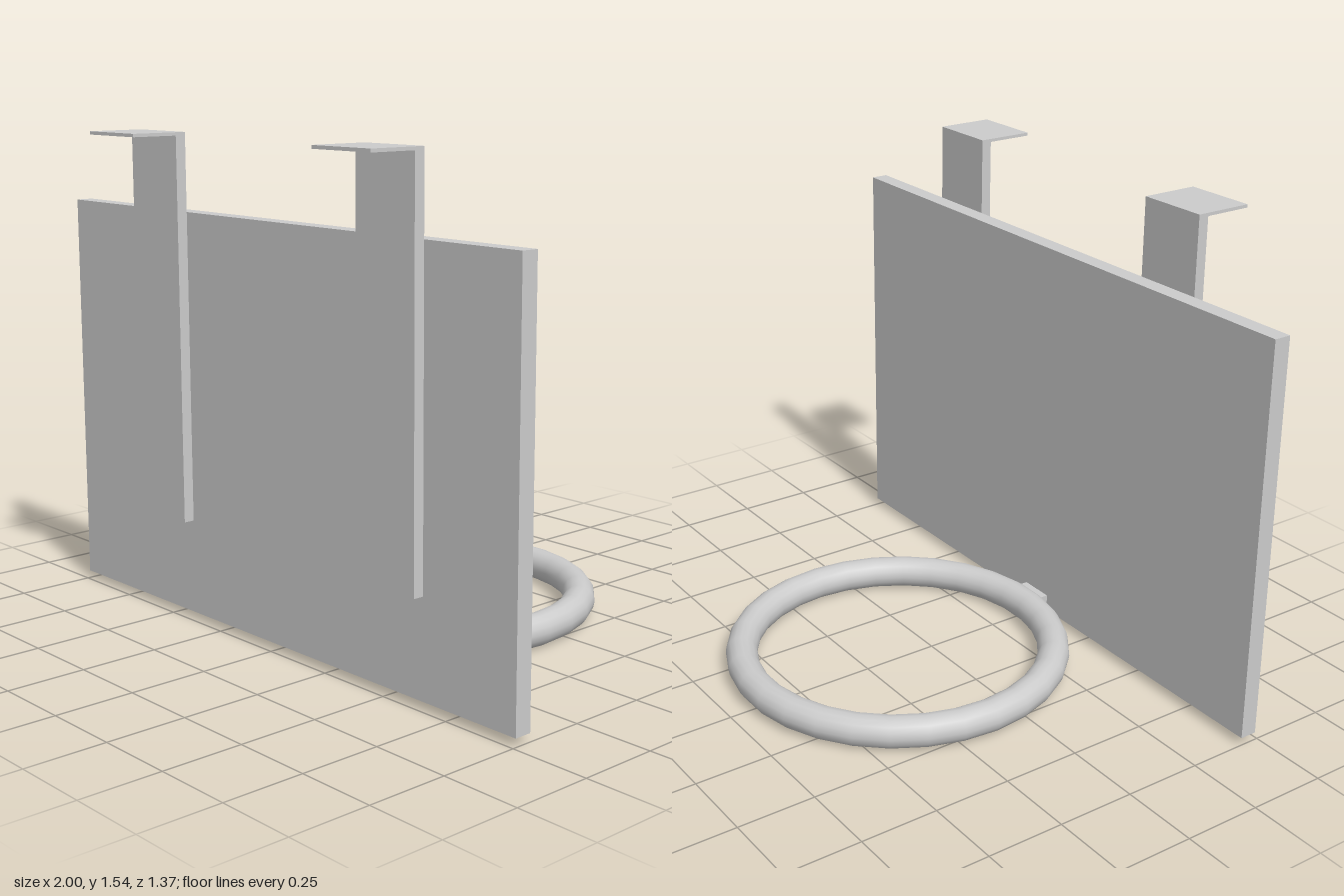
import * as THREE from 'three';

const material = new THREE.MeshStandardMaterial({ color: 0xcccccc });

// Box given by its limits on each axis
function box(name, [x0, x1], [y0, y1], [z0, z1]) {
  const mesh = new THREE.Mesh(new THREE.BoxGeometry(x1 - x0, y1 - y0, z1 - z0), material);
  mesh.position.set((x0 + x1) / 2, (y0 + y1) / 2, (z0 + z1) / 2);
  mesh.name = name;
  return mesh;
}

// Flat strap with a thin hook plate folded forward at its top
function hanger(name, x0, x1) {
  const group = new THREE.Group();
  group.name = name;
  group.add(
    box('strap', [x0, x1], [0.33, 1.527], [0.499, 0.533]),
    box('hookPlate', [x0, x1], [1.527, 1.537], [0.499, 0.685]),
  );
  return group;
}

export function createModel() {
  const model = new THREE.Group();
  model.name = 'hangingBoardWithHoop';

  // Board
  model.add(box('backboard', [-1, 1], [0.025, 1.295], [0.435, 0.49]));

  // Two hangers on the front of the board
  model.add(hanger('rightHanger', -0.61, -0.38), hanger('leftHanger', 0.43, 0.66));

  // Horizontal hoop behind the board
  const hoop = new THREE.Mesh(new THREE.TorusGeometry(0.505, 0.051, 16, 30), material);
  hoop.name = 'hoop';
  hoop.rotation.x = -Math.PI / 2;
  hoop.position.set(0, 0.051, -0.133);
  model.add(hoop);

  // Short block joining hoop and board
  model.add(box('hoopMount', [-0.057, 0.057], [0.027, 0.08], [0.4, 0.436]));

  return model;
}
